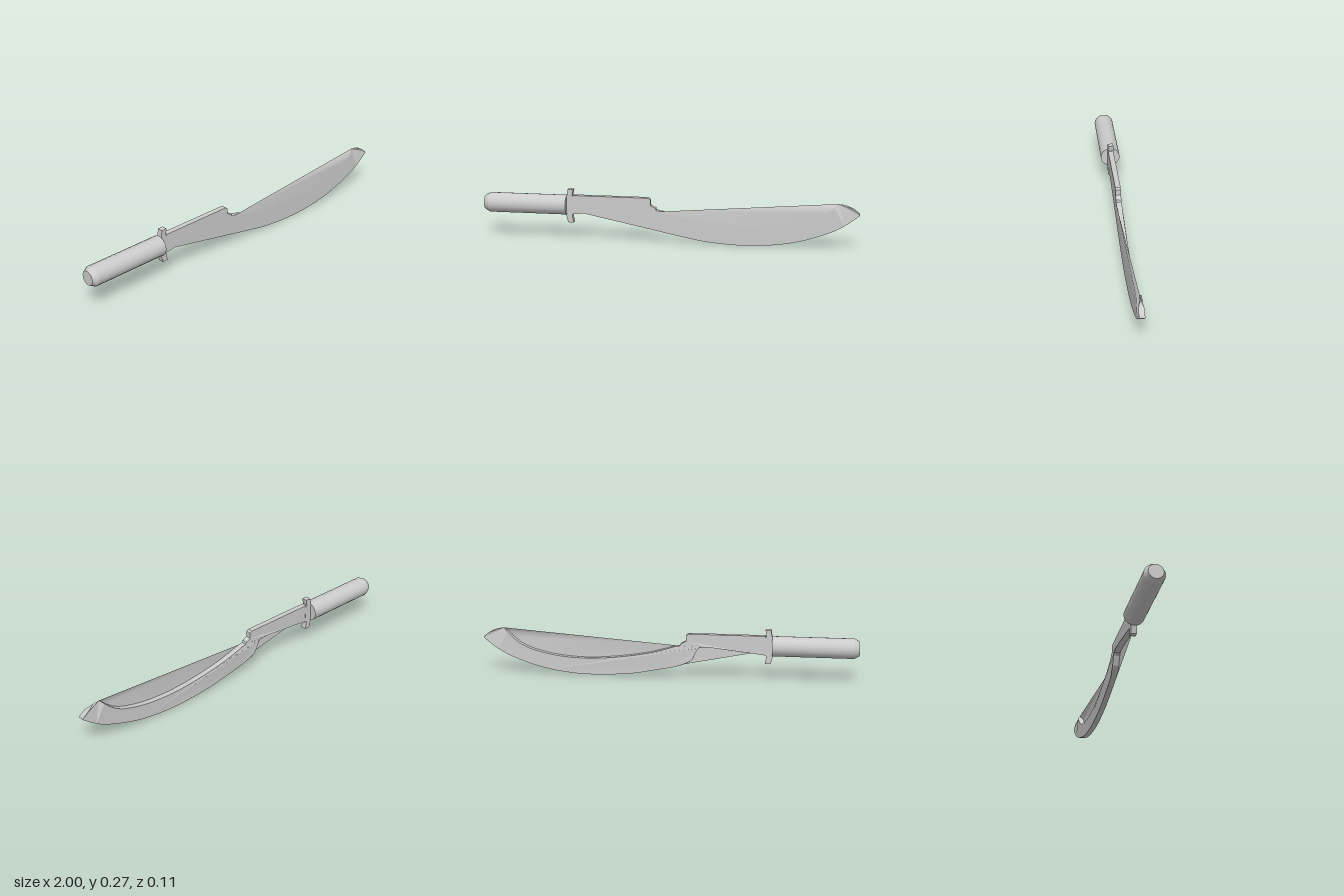
import * as THREE from 'three';

const material = new THREE.MeshStandardMaterial({ color: 0xcccccc, flatShading: true });
const smoothMaterial = new THREE.MeshStandardMaterial({ color: 0xcccccc });
const sheetMaterial = new THREE.MeshStandardMaterial({ color: 0xcccccc, side: THREE.DoubleSide });

const FRONT = 0.015, BACK = -0.014;
const points = (list) => list.map(([x, y]) => new THREE.Vector2(x, y));
const curve = (list, n) => new THREE.SplineCurve(points(list)).getPoints(n);

function addMesh(group, name, geometry, mat = material) {
  const mesh = new THREE.Mesh(geometry, mat);
  mesh.name = name;
  group.add(mesh);
  return mesh;
}

function plate(outline, front, back) {
  const geometry = new THREE.ExtrudeGeometry(new THREE.Shape(outline), { depth: front - back, bevelEnabled: false });
  return geometry.translate(0, 0, back);
}

// Pinches the upper corner of the tip and swells the back near the chin
function shapeThickness(geometry) {
  const p = geometry.attributes.position;
  for (let i = 0; i < p.count; i++) {
    const x = p.getX(i), y = p.getY(i);
    if (x > 0.85 && y > 0.235) p.setZ(i, 0);
    else if (p.getZ(i) < 0 && x > -0.34 && x < -0.09 && y < 0.18) p.setZ(i, -0.018);
  }
  geometry.computeVertexNormals();
  return geometry;
}

export function createModel() {
  const group = new THREE.Group();
  group.name = 'curvedSword';

  // Round grip with chamfered end
  const grip = new THREE.LatheGeometry(points([[0, -1], [0.038, -1]]), 20);
  const wall = new THREE.LatheGeometry(points([[0.053, -0.973], [0.053, -0.55]]), 20);
  const chamfer = new THREE.LatheGeometry(points([[0.038, -1], [0.053, -0.973]]), 20);
  const frontCap = new THREE.LatheGeometry(points([[0.053, -0.55], [0, -0.55]]), 20);
  const handle = new THREE.Group();
  handle.name = 'handle';
  addMesh(handle, 'pommelFace', grip);
  addMesh(handle, 'pommelChamfer', chamfer, smoothMaterial);
  addMesh(handle, 'grip', wall, smoothMaterial);
  addMesh(handle, 'gripFrontFace', frontCap);
  handle.rotation.z = -Math.PI / 2;
  handle.position.y = 0.183;
  group.add(handle);

  // Guard with flared ends
  addMesh(group, 'guard', plate(points([
    [-0.553, 0.13], [-0.543, 0.09], [-0.513, 0.09], [-0.52, 0.13], [-0.51, 0.142], [-0.51, 0.225],
    [-0.52, 0.237], [-0.513, 0.27], [-0.543, 0.27], [-0.548, 0.237], [-0.553, 0.225],
  ]), FRONT, -0.015));

  // Edges of the blade
  const inner = curve([[-0.04, 0.168], [0.07, 0.135], [0.2, 0.11], [0.35, 0.093], [0.48, 0.09],
    [0.63, 0.105], [0.78, 0.15], [0.885, 0.24]], 24);
  const belly = curve([[0.995, 0.185], [0.93, 0.135], [0.85, 0.09], [0.7, 0.038], [0.55, 0.01],
    [0.38, 0.001], [0.2, 0.013], [0.1, 0.03]], 24);
  const chin = curve([[-0.02, 0.053], [-0.09, 0.074], [-0.13, 0.1], [-0.148, 0.135], [-0.17, 0.165],
    [-0.24, 0.167], [-0.33, 0.156], [-0.46, 0.142]], 16);

  // Thick crescent blade with its straight shank
  const outline = [
    ...points([[-0.515, 0.135], [-0.515, 0.237], [-0.11, 0.237], [-0.097, 0.228], [-0.097, 0.197],
      [-0.07, 0.184], [-0.066, 0.172]]),
    ...inner,
    ...points([[0.92, 0.236], [0.96, 0.217], [0.99, 0.195]]),
    ...belly, ...chin,
  ];
  addMesh(group, 'blade', shapeThickness(plate(outline, FRONT, BACK)));

  // Thin webs closing the hollows on the front side
  const webs = { upperWeb: inner, lowerWeb: [new THREE.Vector2(0.1, 0.03), ...chin] };
  for (const [name, edge] of Object.entries(webs)) {
    const web = new THREE.ShapeGeometry(new THREE.Shape(edge)).translate(0, 0, FRONT);
    addMesh(group, name, shapeThickness(web), sheetMaterial);
  }
  return group;
}
